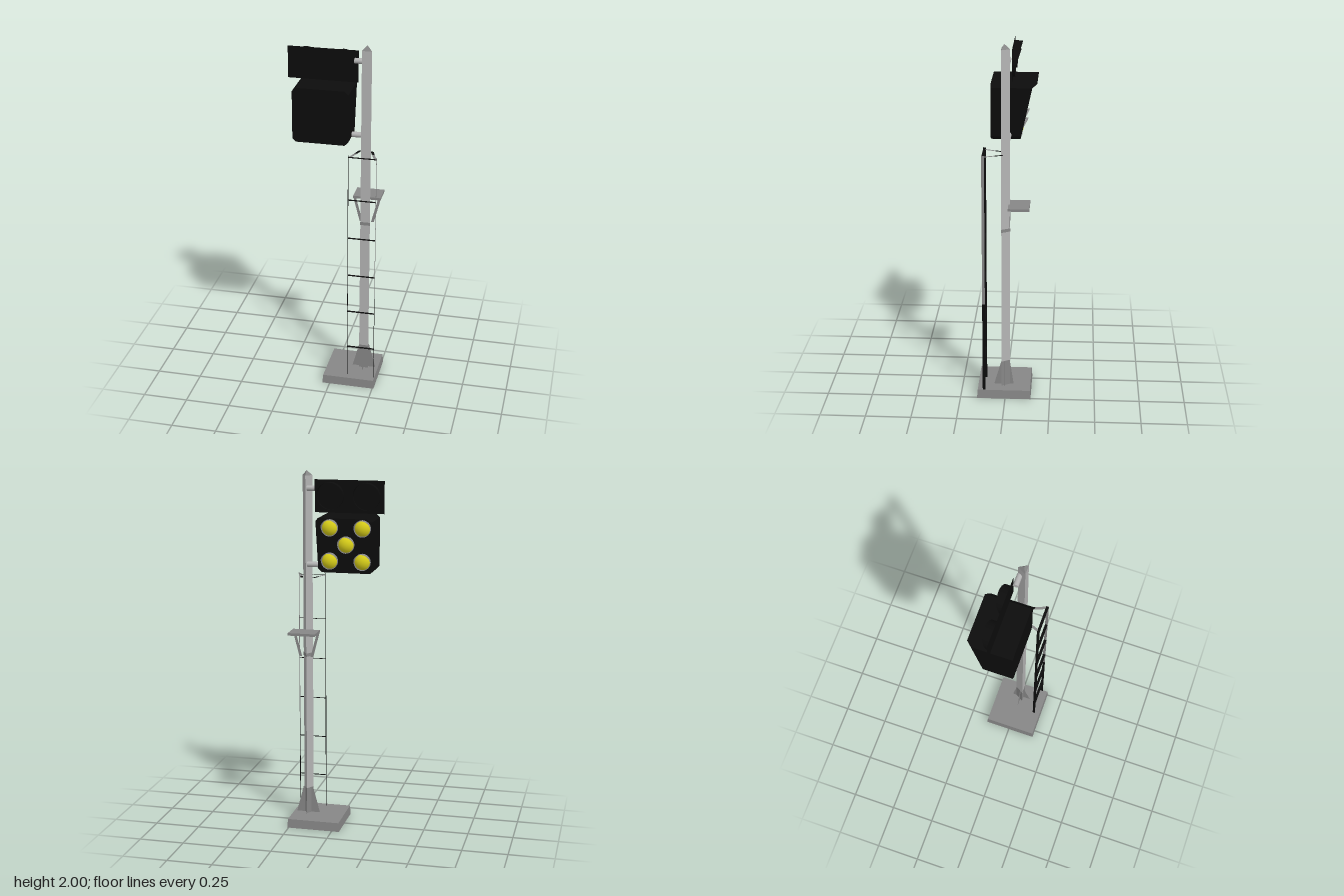
import * as THREE from 'three';

const mat = (name, color, side = THREE.DoubleSide) => {
  const m = new THREE.MeshStandardMaterial({ color, side });
  m.name = name;
  return m;
};

// Surface between two rows of points, flat or smooth
function strip(a, b, smooth = false) {
  const pos = [], index = [], n = a.length;
  [...a, ...b].forEach((p) => pos.push(...p));
  for (let i = 0; i < n - 1; i++) index.push(i, n + i, i + 1, i + 1, n + i, n + i + 1);
  let g = new THREE.BufferGeometry();
  g.setAttribute('position', new THREE.Float32BufferAttribute(pos, 3));
  g.setIndex(index);
  if (!smooth) g = g.toNonIndexed();
  g.computeVertexNormals();
  return g;
}

// Box without an underside, its top drawn in by a small amount
function openTray(w, h, d, inset) {
  const g = new THREE.BoxGeometry(w, h, d);
  const p = g.attributes.position;
  for (let i = 0; i < p.count; i++) {
    if (p.getY(i) > 0) {
      p.setX(i, p.getX(i) - Math.sign(p.getX(i)) * inset);
      p.setZ(i, p.getZ(i) - Math.sign(p.getZ(i)) * inset);
    }
  }
  g.setIndex([...g.index.array].filter((_, i) => i < 18 || i > 23));
  g.clearGroups();
  g.computeVertexNormals();
  return g;
}

export function createModel() {
  const root = new THREE.Group();
  root.name = 'railwaySignal';
  const pale = mat('paleGrey', 0xb4b4b4);
  const grey = mat('midGrey', 0x878787);
  const black = mat('black', 0x0c0c0c);
  const yellow = mat('lensYellow', 0xdcd21a);

  const add = (name, geo, m, x = 0, y = 0, z = 0) => {
    const mesh = new THREE.Mesh(geo, m);
    mesh.name = name;
    mesh.position.set(x, y, z);
    root.add(mesh);
    return mesh;
  };
  const PX = 0.172, PZ = 0.007;

  // Base slab, hollow below
  add('base', openTray(0.3, 0.05, 0.3, 0.004), grey, 0.108, 0.025, 0.007);

  // Three-sided post with a pointed cap
  const prism = (rTop, rBottom, y0, y1) =>
    new THREE.CylinderGeometry(rTop, rBottom, y1 - y0, 3, 1, false, Math.PI)
      .toNonIndexed().translate(0, (y0 + y1) / 2, 0);
  const post = (name, rt, rb, y0, y1, m) => {
    const g = prism(rt, rb, y0, y1);
    g.computeVertexNormals();
    add(name, g, m, PX, 0, PZ);
  };
  post('postFoot', 0.031, 0.031, 0.03, 0.2, grey);
  post('post', 0.031, 0.031, 0.2, 1.972, pale);
  post('postCap', 0, 0.031, 1.972, 2, grey);
  post('platformCollar', 0.032, 0.032, 0.97, 0.988, grey);

  // Crossed foot fins
  add('footFinAcross', strip(
    [[PX - 0.067, 0.05, PZ], [PX + 0.067, 0.05, PZ]],
    [[PX - 0.028, 0.2, PZ], [PX + 0.028, 0.2, PZ]]), grey);
  add('footFinAlong', strip(
    [[PX, 0.05, 0.065], [PX, 0.05, -0.045]],
    [[PX, 0.2, 0.022], [PX, 0.2, -0.022]]), grey);

  // Service platform and its two braces
  add('platform', openTray(0.153, 0.014, 0.115, 0), grey, PX, 1.118, -0.0725);
  for (const s of [-1, 1]) {
    add('platformBrace', strip(
      [[PX + s * 0.024, 0.972, -0.022], [PX + s * 0.04, 0.972, -0.022]],
      [[PX + s * 0.061, 1.112, -0.022], [PX + s * 0.076, 1.112, -0.022]]), grey);
  }

  // Ladder of flat strips
  const rail = (x, y0, y1, m) => add('ladderRail', strip(
    [[x, y0, 0.11], [x, y0, 0.125]], [[x, y1, 0.11], [x, y1, 0.125]]), m);
  rail(PX - 0.0765, 0.05, 1.42, black);
  rail(PX + 0.0765, 0.05, 0.57, black);
  rail(PX + 0.0765, 0.57, 1.42, grey);
  for (const y of [0.24, 0.47, 0.7, 0.93, 1.16, 1.41]) {
    add('ladderRung', strip(
      [[PX - 0.0765, y, 0.11], [PX + 0.0765, y, 0.11]],
      [[PX - 0.0765, y, 0.125], [PX + 0.0765, y, 0.125]]), black);
  }
  for (const s of [-1, 1]) {
    const arm = (xa, za, xb, zb, m) => add('ladderArm', strip(
      [[PX + s * xa, 1.41, za], [PX + s * (xa + 0.017), 1.41, za + 0.004]],
      [[PX + s * xb, 1.41, zb], [PX + s * (xb + 0.017), 1.41, zb + 0.004]]), m);
    arm(0.024, 0.012, 0.038, 0.054, black);
    arm(0.038, 0.054, 0.06, 0.11, grey);
  }

  // Lamp housing with clipped corners
  const HX = -0.0645, HY = 1.6125, half = 0.1525, cut = 0.02, face = -0.07;
  const k = half - cut;
  const outline = [[k, -half], [half, -k], [half, k], [k, half],
    [-k, half], [-half, k], [-half, -k], [-k, -half]];
  const shape = new THREE.Shape(outline.map(([x, y]) => new THREE.Vector2(x, y)));
  add('lampHousing', new THREE.ExtrudeGeometry(shape, { depth: 0.085 - face, bevelEnabled: false }),
    black, HX, HY, face);

  // Shroud around the lamp face, deepest at the top
  const rimZ = (y) => (y > k + 0.001 ? -0.162
    : THREE.MathUtils.mapLinear(y, -half, k, face - 0.004, -0.136));
  const loop = [...outline, outline[0]];
  add('shroud', strip(loop.map(([x, y]) => [x, y, face]), loop.map(([x, y]) => [x, y, rimZ(y)])),
    black, HX, HY, 0);

  // Round hood, long over the top and short below
  const hood = (r, low, high) => {
    const a = [], b = [];
    for (let i = 0; i <= 24; i++) {
      const t = (i / 24) * Math.PI * 2, x = Math.cos(t) * r, y = Math.sin(t) * r;
      a.push([x, y, 0]);
      b.push([x, y, -(low + (high - low) * Math.max(0, (Math.sin(t) + 0.2) / 1.2))]);
    }
    return strip(a, b, true);
  };

  // Five yellow lamps
  const lensGeo = new THREE.SphereGeometry(0.062, 24, 5, 0, Math.PI * 2, 0, 0.74)
    .translate(0, -0.062 * Math.cos(0.74), 0).rotateX(-Math.PI / 2);
  for (const [x, y] of [[-1, 1], [1, 1], [0, 0], [-1, -1], [1, -1]]) {
    const lx = HX + x * 0.09, ly = HY + y * 0.09;
    add('lampHood', hood(0.046, 0.012, 0.045), grey, lx, ly, face);
    add('lampRim', new THREE.RingGeometry(0.038, 0.046, 24), grey, lx, ly, face - 0.003);
    add('lampLens', lensGeo, yellow, lx, ly, face - 0.004);
  }

  // Upper board with two dark hooded lamps
  const boardZ = -0.03;
  add('upperBoard', new THREE.PlaneGeometry(0.383, 0.177), black, -0.0735, 1.867, boardZ);
  for (const x of [-0.17, 0.03]) {
    add('upperHood', hood(0.074, 0.015, 0.046), black, x, 1.87, boardZ);
    add('upperLens', new THREE.CircleGeometry(0.07, 24), black, x, 1.87, boardZ - 0.006);
  }

  // Mounting stubs from post to lamp units
  const stub = (x0, x1, y) => add('mountStub',
    new THREE.CylinderGeometry(0.015, 0.015, x1 - x0, 10).rotateZ(Math.PI / 2),
    pale, (x0 + x1) / 2, y, -0.012);
  stub(0.1, 0.165, 1.905);
  stub(0.08, 0.165, 1.49);

  return root;
}
